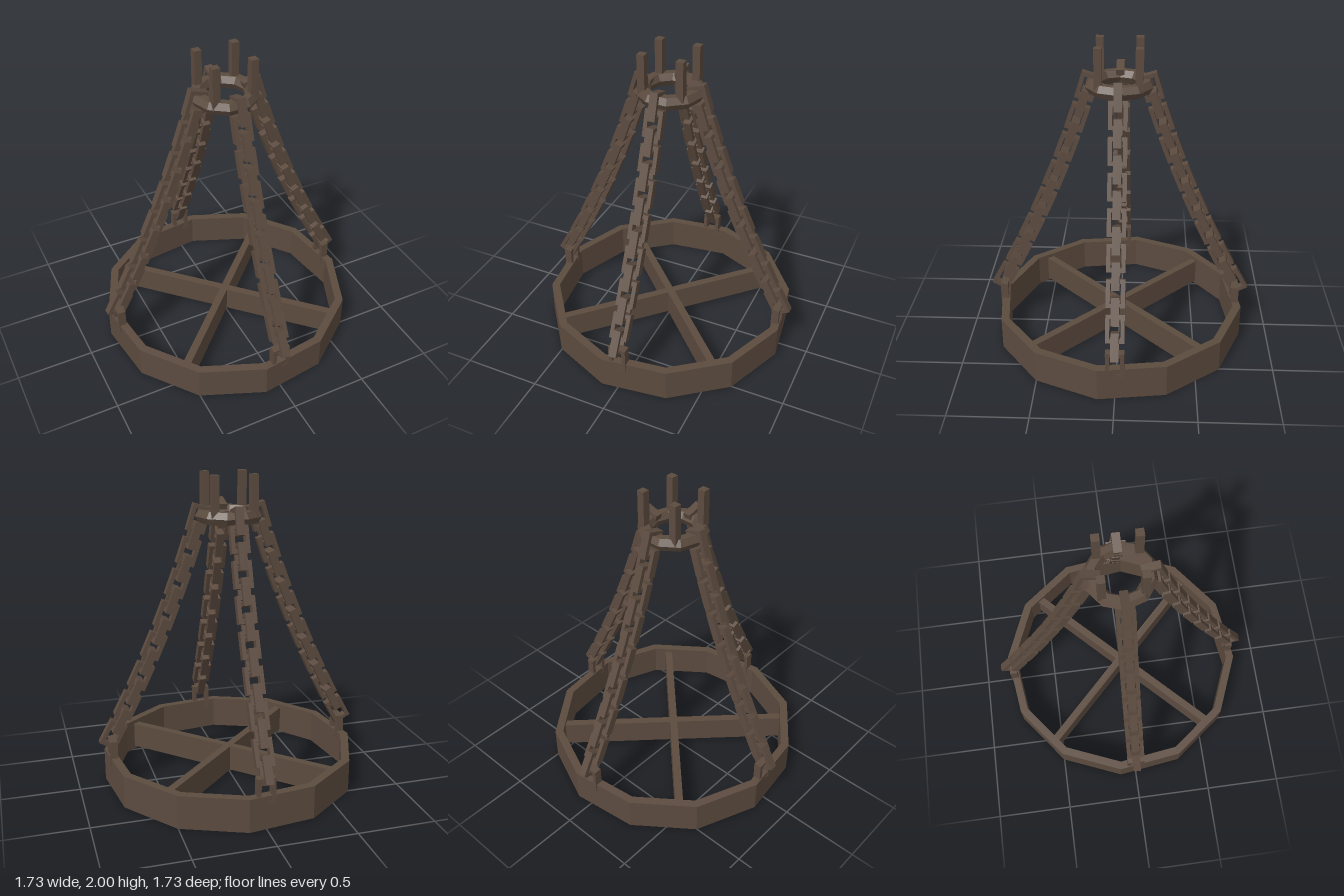
import * as THREE from 'three';

const material = new THREE.MeshStandardMaterial({ color: 0x5c4b3f, flatShading: true });

function addMesh(parent, name, geometry) {
  const mesh = new THREE.Mesh(geometry, material);
  mesh.name = name;
  parent.add(mesh);
  return mesh;
}

// Corners of a regular polygon
function polygon(radius, sides, startAngle) {
  return Array.from({ length: sides }, (_, i) => {
    const a = startAngle + (i / sides) * Math.PI * 2;
    return new THREE.Vector2(Math.cos(a) * radius, Math.sin(a) * radius);
  });
}

function rectangle(w, h) {
  return [[-w, -h], [w, -h], [w, h], [-w, h]].map(([x, y]) => new THREE.Vector2(x / 2, y / 2));
}

// Extrudes an outline with one hole
function extrudeFrame(outer, inner, depth) {
  const shape = new THREE.Shape(outer);
  shape.holes.push(new THREE.Path(inner));
  return new THREE.ExtrudeGeometry(shape, { depth, bevelEnabled: false });
}

export function createModel() {
  const model = new THREE.Group();
  model.name = 'chandelier';

  // Wide twelve-sided hoop
  const start = THREE.MathUtils.degToRad(22.5);
  const hoop = extrudeFrame(polygon(0.826, 12, start), polygon(0.772, 12, start), 0.215);
  addMesh(model, 'hoop', hoop.rotateX(-Math.PI / 2));

  // Crossed beams inside the hoop
  for (const side of [1, -1]) {
    const beam = addMesh(model, 'crossBeam', new THREE.BoxGeometry(1.53, 0.17, 0.05));
    beam.position.y = 0.105;
    beam.rotation.y = side * Math.PI / 4;
  }

  // Small upper ring
  const ring = addMesh(model, 'topRing', new THREE.TorusGeometry(0.17, 0.046, 6, 10));
  ring.rotation.x = Math.PI / 2;
  ring.position.y = 1.74;

  // Four posts rising from the upper ring
  for (const x of [-0.123, 0.123]) {
    for (const z of [-0.123, 0.123]) {
      addMesh(model, 'topPost', new THREE.BoxGeometry(0.048, 0.27, 0.048)).position.set(x, 1.865, z);
    }
  }

  // Four slightly sagging chains of alternating rectangular links
  const link = extrudeFrame(rectangle(0.116, 0.17), rectangle(0.066, 0.12), 0.05).translate(0, 0, -0.025);
  const path = new THREE.QuadraticBezierCurve(
    new THREE.Vector2(0.195, 1.725), new THREE.Vector2(0.41, 1.03), new THREE.Vector2(0.773, 0.365));
  const linkCount = 15;
  for (let c = 0; c < 4; c++) {
    const chain = new THREE.Group();
    chain.name = 'chain';
    chain.rotation.y = c * Math.PI / 2;
    model.add(chain);
    for (let i = 0; i < linkCount; i++) {
      const u = i / (linkCount - 1);
      const p = path.getPointAt(u);
      const t = path.getTangentAt(u);
      const mesh = addMesh(chain, 'chainLink', link);
      mesh.position.set(p.x, p.y, 0);
      mesh.rotation.set(0, (i % 2) * Math.PI / 2, Math.atan2(t.x, -t.y), 'ZYX');
    }
    // Upright loop set into the hoop
    const loop = addMesh(chain, 'hoopLoop', link);
    loop.position.set(0.779, 0.243, 0);
    loop.rotation.y = Math.PI / 2;
  }
  return model;
}
